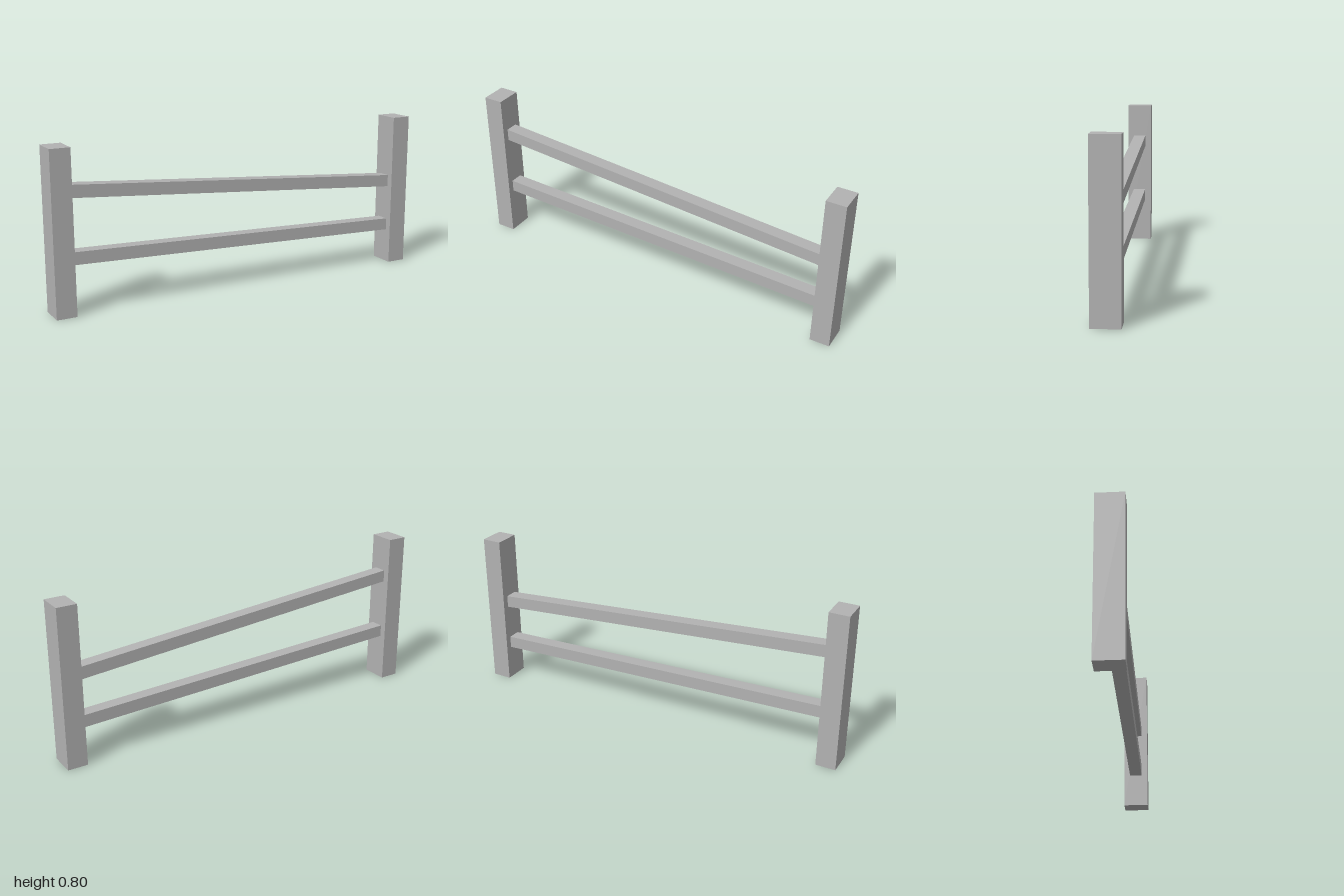
import * as THREE from 'three';

const POST = { width: 0.1, height: 0.8, depth: 0.134, x: 0.95 };
const RAIL = { height: 0.062, depth: 0.067, reach: 0.9 };

// Sloping rail with upright ends: a box sheared along its length
function makeRail(name, rightY, leftY, material) {
  const geometry = new THREE.BoxGeometry(2 * RAIL.reach, RAIL.height, RAIL.depth);
  const pos = geometry.attributes.position;
  for (let i = 0; i < pos.count; i++) {
    const t = (pos.getX(i) + RAIL.reach) / (2 * RAIL.reach);
    pos.setY(i, pos.getY(i) + THREE.MathUtils.lerp(rightY, leftY, t));
  }
  geometry.computeVertexNormals();
  const rail = new THREE.Mesh(geometry, material);
  rail.name = name;
  return rail;
}

export function createModel() {
  const group = new THREE.Group();
  group.name = 'fence';
  const grey = new THREE.MeshStandardMaterial({ color: 0xb2b2b2 });
  grey.name = 'grey';

  // Two square posts
  for (const [name, side] of [['leftPost', 1], ['rightPost', -1]]) {
    const post = new THREE.Mesh(new THREE.BoxGeometry(POST.width, POST.height, POST.depth), grey);
    post.name = name;
    post.position.set(side * POST.x, POST.height / 2, 0);
    group.add(post);
  }

  // Two rails, both lower at the left post
  group.add(makeRail('upperRail', 0.591, 0.452, grey));
  group.add(makeRail('lowerRail', 0.272, 0.209, grey));

  return group;
}
